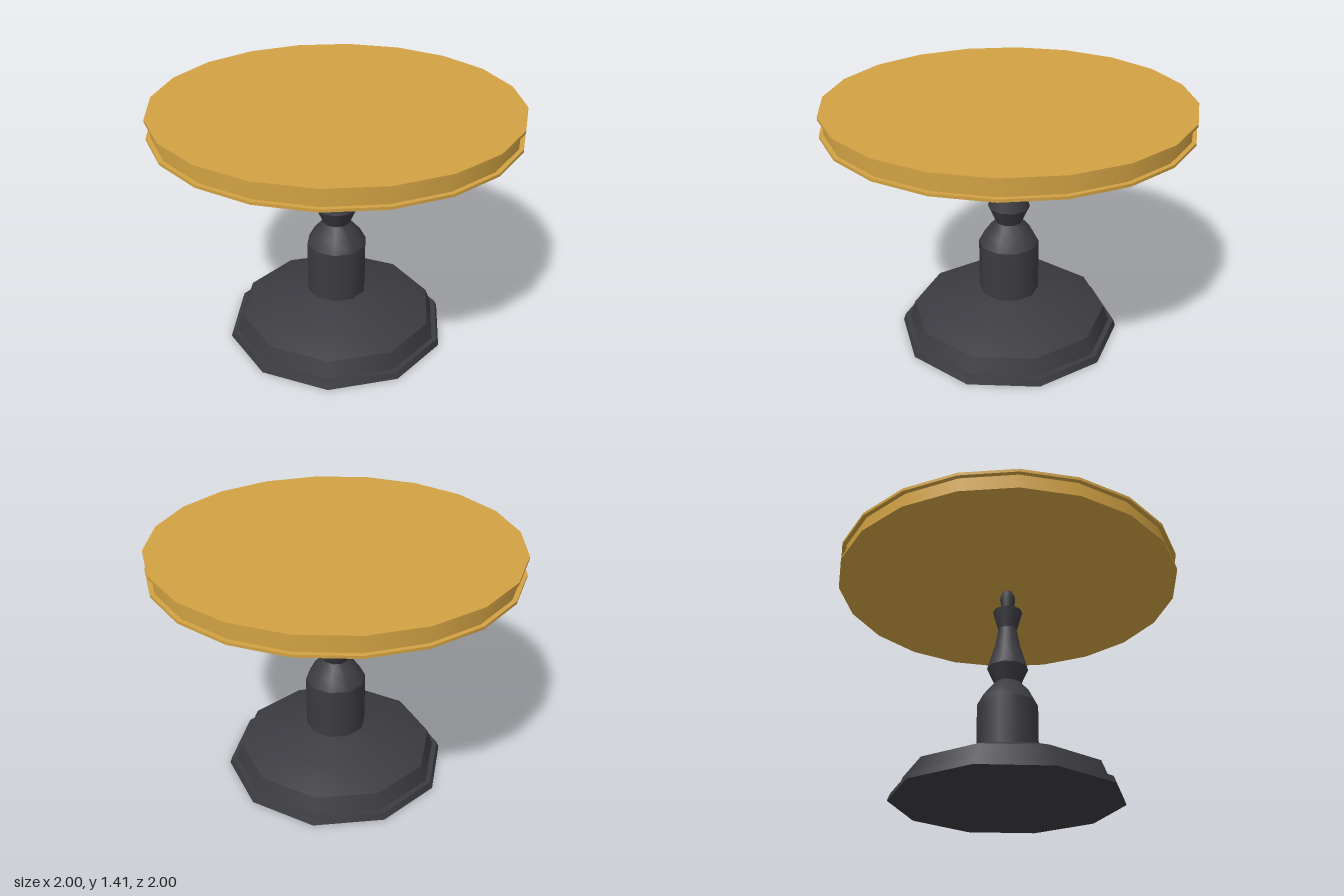
import * as THREE from 'three';
import { mergeGeometries } from 'three/addons/utils/BufferGeometryUtils.js';

// Turned part: each run of [radius, height] points is smooth, with a crease between runs.
function turned(name, runs, sides, material) {
  const pieces = runs.map(run =>
    new THREE.LatheGeometry(run.map(([r, y]) => new THREE.Vector2(r, y)), sides));
  const mesh = new THREE.Mesh(mergeGeometries(pieces), material);
  mesh.name = name;
  return mesh;
}

// Same, with a crease at every point of the profile.
const creased = points => points.slice(1).map((p, i) => [points[i], p]);

export function createModel() {
  const wood = new THREE.MeshStandardMaterial({ color: 0xd2a243 });
  wood.name = 'golden wood';
  const iron = new THREE.MeshStandardMaterial({ color: 0x3b3b41 });
  iron.name = 'dark iron';

  const table = new THREE.Group();
  table.name = 'pedestalTable';

  // Stepped ten-sided foot with a domed top
  table.add(turned('foot', [
    ...creased([[0, 0], [0.64, 0], [0.627, 0.038], [0.597, 0.038], [0.563, 0.132]]),
    [[0.563, 0.132], [0.40, 0.2], [0.172, 0.26]],
  ], 10, iron));

  // Straight column with a rounded shoulder
  table.add(turned('column', [
    [[0.172, 0.26], [0.172, 0.565]],
    [[0.172, 0.565], [0.137, 0.63], [0.077, 0.697]],
  ], 10, iron));

  // Vase-shaped baluster with a flared collar
  table.add(turned('baluster', [
    [[0.077, 0.697], [0.118, 0.79]],
    [[0.118, 0.79], [0.073, 0.94], [0.055, 1.045]],
    [[0.055, 1.045], [0.087, 1.163]],
    [[0.087, 1.163], [0.038, 1.17]],
  ], 10, iron));

  // Small bulb under the top
  table.add(turned('bulb', [
    [[0.038, 1.17], [0.036, 1.185], [0.045, 1.25], [0.041, 1.275], [0.028, 1.3]],
  ], 10, iron));

  // Twenty-sided top with a recessed band between two thin lips
  table.add(turned('tableTop', creased([
    [0, 1.298], [1, 1.298], [1, 1.313], [0.976, 1.313],
    [0.976, 1.396], [1, 1.396], [1, 1.413], [0, 1.413],
  ]), 20, wood));

  return table;
}
